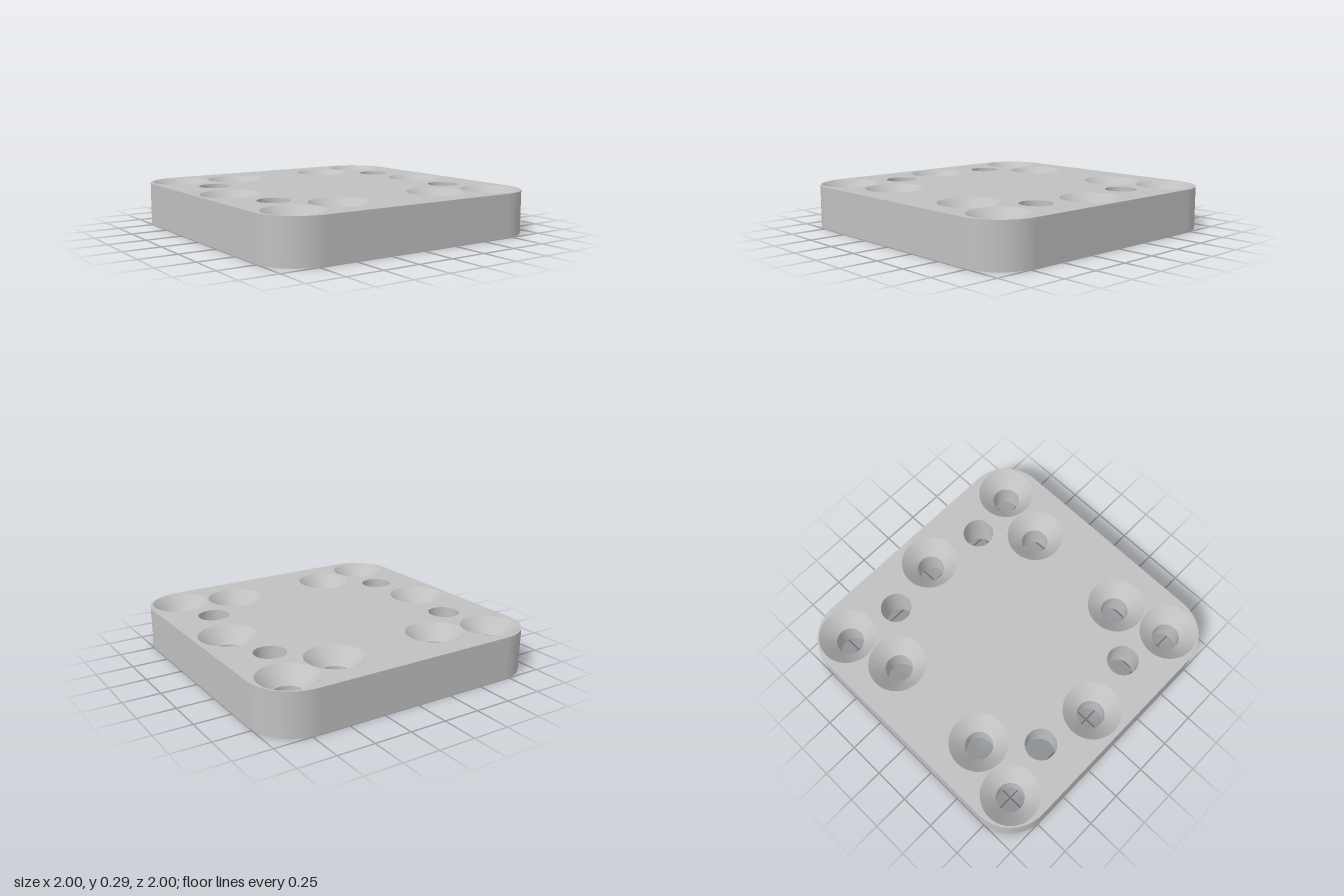
import * as THREE from 'three';

const HEIGHT = 0.29, CORNER = 0.29, SEGMENTS = 48;
const SINK_R = 0.195, SINK_DEPTH = 0.102, BORE_R = 0.093, PLAIN_R = 0.105;

// Mirror one position across both axes
const mirrored = (x, z) => [[x, z], [-x, z], [x, -z], [-x, -z]];
const sinkHoles = [...mirrored(0.77, 0.77), ...mirrored(0.385, 0.67), [0.77, 0], [-0.77, 0]];
const plainHoles = mirrored(0.685, 0.4);

// Rounded square face with the holes cut out
function plateFace(sinkRadius) {
  const c = 1 - CORNER;
  const shape = new THREE.Shape();
  shape.absarc(c, c, CORNER, 0, Math.PI / 2);
  shape.absarc(-c, c, CORNER, Math.PI / 2, Math.PI);
  shape.absarc(-c, -c, CORNER, Math.PI, Math.PI * 1.5);
  shape.absarc(c, -c, CORNER, Math.PI * 1.5, Math.PI * 2);
  const cut = (holes, r) => holes.forEach(([x, z]) =>
    shape.holes.push(new THREE.Path().absarc(x, z, r, 0, Math.PI * 2, true)));
  cut(sinkHoles, sinkRadius);
  cut(plainHoles, PLAIN_R);
  return new THREE.ShapeGeometry(shape, SEGMENTS / 2);
}

// Inward-facing wall, listed from its upper ring to its lower ring
function holeWall(rTop, yTop, rBottom, yBottom) {
  return new THREE.LatheGeometry(
    [new THREE.Vector2(rTop, yTop), new THREE.Vector2(rBottom, yBottom)], SEGMENTS);
}

export function createModel() {
  const metal = new THREE.MeshStandardMaterial({ color: 0xc0c0c0 });
  metal.name = 'plain grey metal';
  const model = new THREE.Group();
  model.name = 'mountingPlate';
  const add = (name, geometry, x = 0, y = 0, z = 0) => {
    const mesh = new THREE.Mesh(geometry, metal);
    mesh.name = name;
    mesh.position.set(x, y, z);
    model.add(mesh);
    return mesh;
  };

  // Top and bottom faces
  add('topFace', plateFace(SINK_R).rotateX(-Math.PI / 2), 0, HEIGHT, 0);
  add('bottomFace', plateFace(BORE_R).rotateX(Math.PI / 2));

  // Straight sides and rounded corners
  const c = 1 - CORNER;
  const side = new THREE.PlaneGeometry(2 * c, HEIGHT).translate(0, HEIGHT / 2, 1);
  const corner = new THREE.CylinderGeometry(
    CORNER, CORNER, HEIGHT, SEGMENTS, 1, true, 0, Math.PI / 2).translate(c, HEIGHT / 2, c);
  for (let i = 0; i < 4; i++) {
    add('side', side).rotation.y = i * Math.PI / 2;
    add('corner', corner).rotation.y = i * Math.PI / 2;
  }

  // Countersunk screw holes
  const floor = HEIGHT - SINK_DEPTH;
  const cone = holeWall(SINK_R, HEIGHT, BORE_R, floor);
  const bore = holeWall(BORE_R, floor, BORE_R, 0);
  for (const [x, z] of sinkHoles) {
    add('countersink', cone, x, 0, z);
    add('screwBore', bore, x, 0, z);
  }

  // Plain through holes
  const plain = holeWall(PLAIN_R, HEIGHT, PLAIN_R, 0);
  for (const [x, z] of plainHoles) add('plainHole', plain, x, 0, z);

  return model;
}
